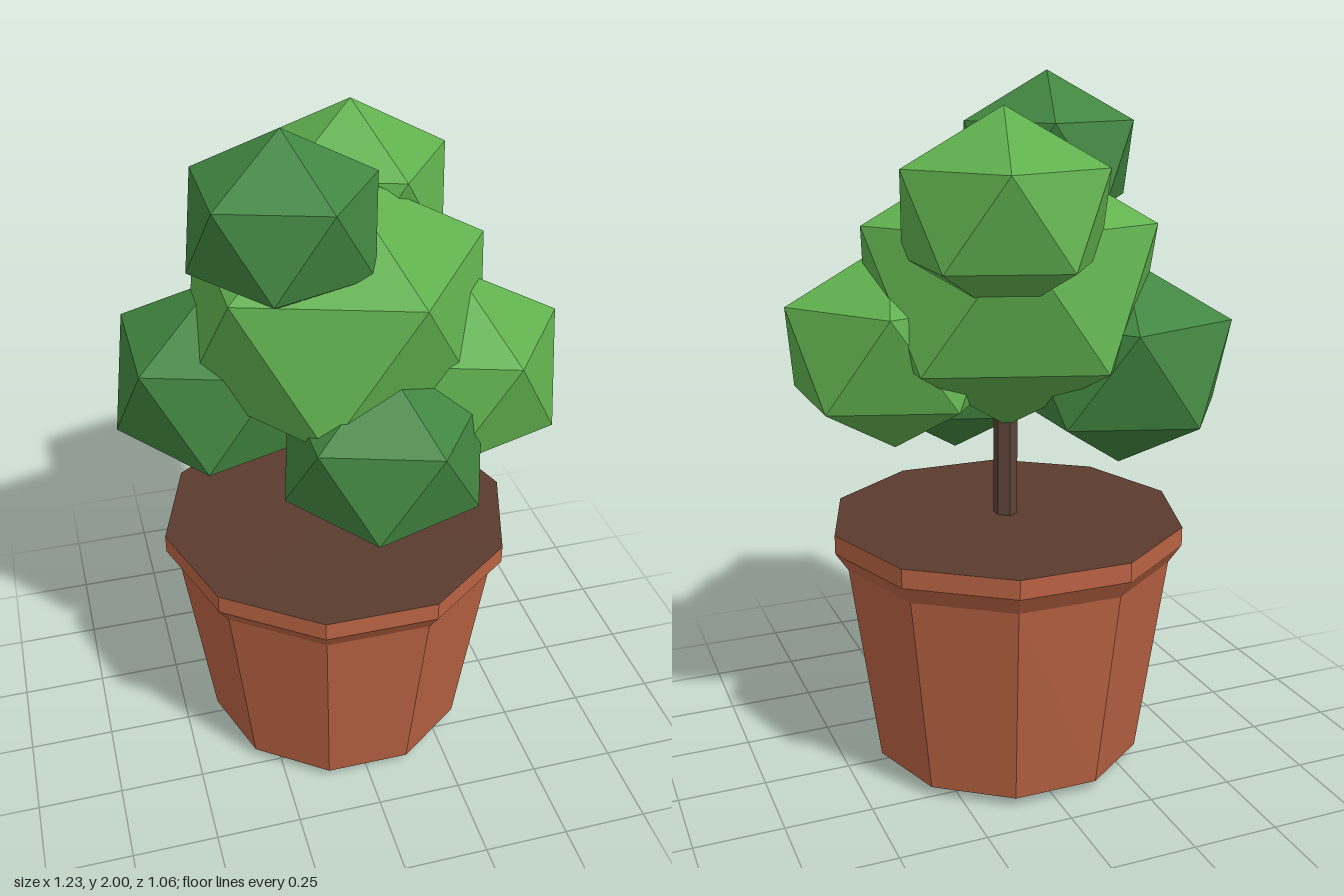
import * as THREE from 'three';

function material(name, color) {
  const m = new THREE.MeshStandardMaterial({ color, flatShading: true });
  m.name = name;
  return m;
}

export function createModel() {
  const group = new THREE.Group();
  const terracotta = material('terracotta', 0xb86242);
  const soilBrown = material('soilBrown', 0x5a3b2e);
  const barkBrown = material('barkBrown', 0x5b4237);
  const lightGreen = material('lightGreen', 0x60b04e);
  const darkGreen = material('darkGreen', 0x418540);

  const SIDES = 10, RIM = 0.52, POT_TOP = 0.74, POT_Z = -0.015;

  function add(name, geometry, mat, x, y, z) {
    const mesh = new THREE.Mesh(geometry, mat);
    mesh.name = name;
    mesh.position.set(x, y, z);
    group.add(mesh);
    return mesh;
  }

  // Ten-sided pot: chamfered foot, tapered wall, flared rim
  const profile = [[0, 0], [0.32, 0], [0.4, 0.03], [0.483, 0.63], [0.52, 0.685], [RIM, POT_TOP]]
    .map(([r, y]) => new THREE.Vector2(r, y));
  add('pot', new THREE.LatheGeometry(profile, SIDES, Math.PI / 2), terracotta, 0, 0, POT_Z);

  // Soil fills the pot to the edge of the rim
  add('soil', new THREE.CircleGeometry(RIM, SIDES).rotateX(-Math.PI / 2), soilBrown, 0, POT_TOP, POT_Z);

  // Trunk, running up into the middle of the crown
  add('trunk', new THREE.CylinderGeometry(0.035, 0.035, 0.5, 6), barkBrown, 0, 0.95, -0.01);

  // Leaf clumps: slightly squashed icosahedra standing on a corner
  const tilt = -Math.atan(2 / (1 + Math.sqrt(5)));
  const clumps = [
    ['crownCentre', lightGreen, 0.47, 0, 1.42, -0.02],
    ['crownBack', lightGreen, 0.31, 0.11, 1.65, -0.27],
    ['crownLeft', lightGreen, 0.34, 0.31, 1.25, 0.07],
    ['crownTop', darkGreen, 0.28, -0.17, 1.755, 0.1],
    ['crownRight', darkGreen, 0.345, -0.308, 1.197, -0.13],
    ['crownFront', darkGreen, 0.307, 0.055, 1.14, 0.27],
  ];
  for (const [name, mat, radius, x, y, z] of clumps) {
    const geometry = new THREE.IcosahedronGeometry(radius, 0).rotateZ(tilt).scale(1, 0.875, 1);
    add(name, geometry, mat, x, y, z);
  }

  return group;
}
